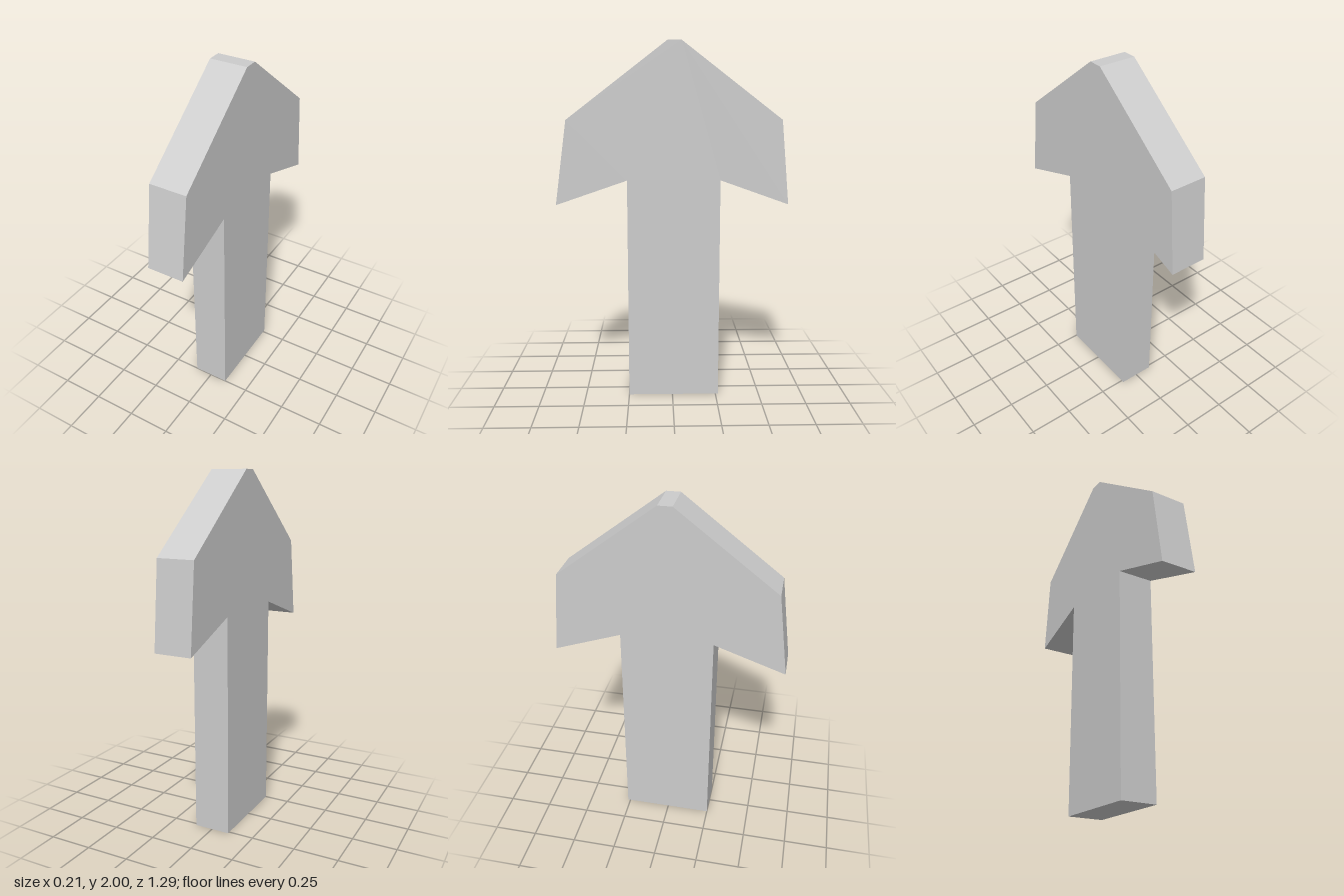
import * as THREE from 'three';

const THICKNESS = 0.208;

// Arrow silhouette as [z, y] corners, counter-clockwise from the foot
const OUTLINE = [
  [-0.265, 0], [0.25, 0], [0.25, 1.25],          // shaft foot and +z side
  [0.643, 1.115], [0.578, 1.58], [0.027, 2],     // +z barb and slope
  [-0.05, 2], [-0.6, 1.58], [-0.643, 1.115],     // blunt tip, -z slope and barb
  [-0.265, 1.25],
];

export function createModel() {
  const group = new THREE.Group();
  group.name = 'upArrow';

  // Flat arrow plate, extruded and turned so its thickness runs along x
  const shape = new THREE.Shape(OUTLINE.map(([z, y]) => new THREE.Vector2(z, y)));
  const geometry = new THREE.ExtrudeGeometry(shape, { depth: THICKNESS, bevelEnabled: false });
  geometry.translate(0, 0, -THICKNESS / 2);
  geometry.rotateY(-Math.PI / 2);

  const material = new THREE.MeshStandardMaterial({ color: 0xcccccc, flatShading: true });
  const arrow = new THREE.Mesh(geometry, material);
  arrow.name = 'arrowPlate';
  group.add(arrow);
  return group;
}
